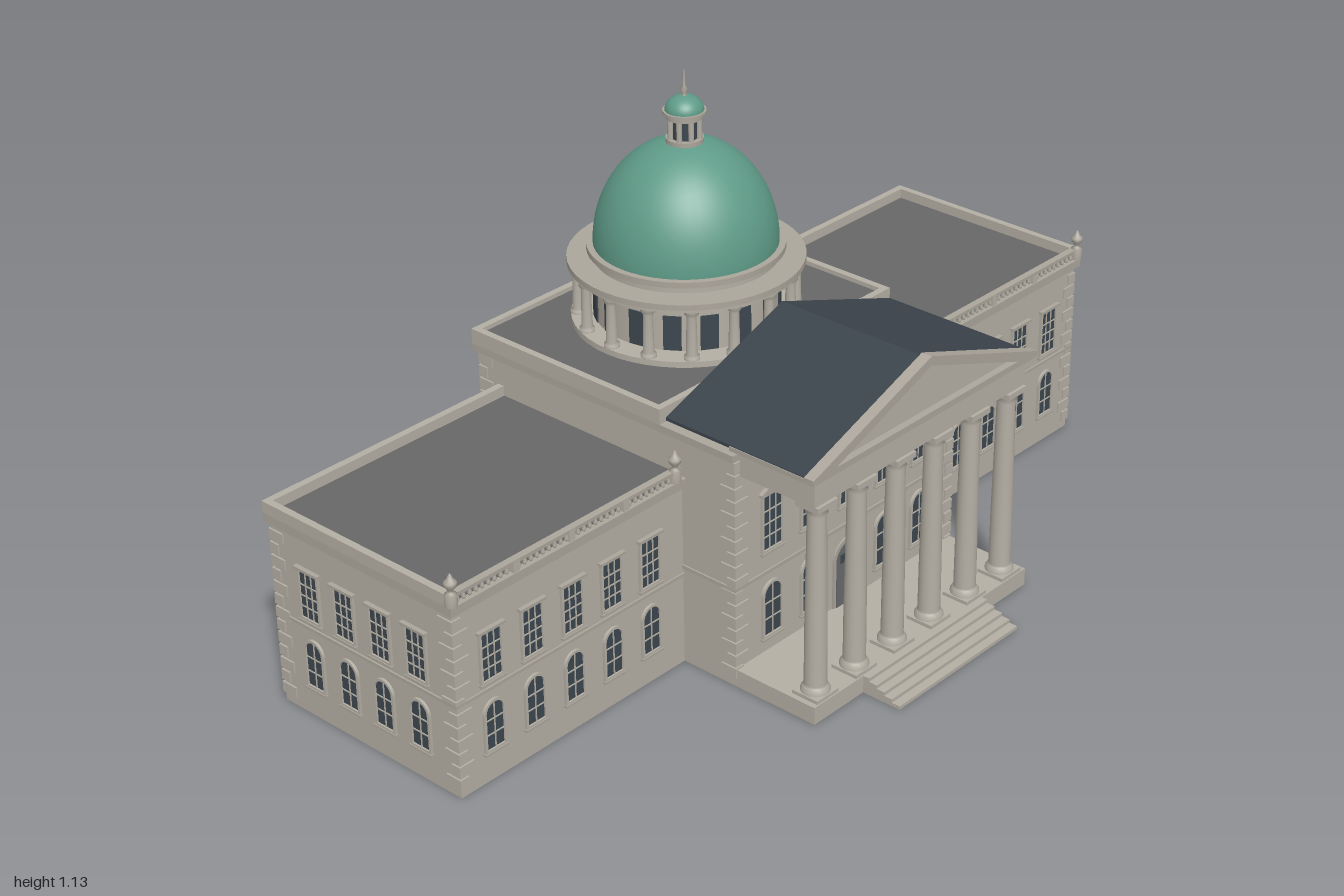
import * as THREE from 'three';

const mat = (name, color, side = THREE.FrontSide) => {
  const m = new THREE.MeshStandardMaterial({ color, side });
  m.name = name;
  return m;
};

export function createModel() {
  const stone = mat('warm stone', 0xb4afa4);
  const trim = mat('stone trim', 0xaca69b);
  const flatRoof = mat('flat roof grey', 0x676767);
  const slate = mat('slate', 0x3c444c);
  const glass = mat('window glass', 0x3d474f);
  const copper = mat('green copper', 0x5f9b88);
  const doorPaint = mat('door grey', 0x68696a);

  const model = new THREE.Group();
  model.name = 'domedHall';
  const add = (parent, name, geo, m, x = 0, y = 0, z = 0) => {
    const mesh = new THREE.Mesh(geo, m);
    mesh.name = name;
    mesh.position.set(x, y, z);
    parent.add(mesh);
    return mesh;
  };
  // box given by its extents
  const box = (parent, name, m, x0, x1, y0, y1, z0, z1) =>
    add(parent, name, new THREE.BoxGeometry(x1 - x0, y1 - y0, z1 - z0), m,
      (x0 + x1) / 2, (y0 + y1) / 2, (z0 + z1) / 2);
  const group = (name, x = 0, y = 0, z = 0) => {
    const g = new THREE.Group();
    g.name = name;
    g.position.set(x, y, z);
    model.add(g);
    return g;
  };
  const lathe = (pts, seg) => new THREE.LatheGeometry(pts.map(p => new THREE.Vector2(p[0], p[1])), seg);
  const extrude = (shape, depth) => new THREE.ExtrudeGeometry(shape, { depth, bevelEnabled: false, curveSegments: 8 });

  // ---- windows ----
  const opening = (w, h, arched, Type = THREE.Shape) => {
    const s = new Type();
    s.moveTo(-w / 2, 0);
    s.lineTo(w / 2, 0);
    if (arched) {
      s.lineTo(w / 2, h - w / 2);
      s.absarc(0, h - w / 2, w / 2, 0, Math.PI, false);
    } else {
      s.lineTo(w / 2, h);
      s.lineTo(-w / 2, h);
    }
    s.lineTo(-w / 2, 0);
    return s;
  };
  const cache = {};
  const addWindow = (x, y, z, ry, w, h, arched, hood = false, pane = glass) => {
    const g = group('window', x, y, z);
    g.rotation.y = ry;
    const key = [w, h, arched].join();
    if (!cache[key]) {
      const f = 0.006;
      const outer = opening(w + 2 * f, h + 2 * f, arched);
      const hole = opening(w, h, arched, THREE.Path);
      hole.curves.forEach(c => { if (c.isLineCurve) { c.v1.y += f; c.v2.y += f; } else c.aY += f; });
      outer.holes.push(hole);
      cache[key] = { pane: extrude(opening(w, h, arched), 0.002), frame: extrude(outer, 0.006) };
    }
    add(g, 'pane', cache[key].pane, pane);
    add(g, 'surround', cache[key].frame, stone, 0, -0.006, 0);
    const cols = arched ? 2 : 3, rows = arched ? 3 : 4;
    for (let i = 1; i < cols; i++)
      box(g, 'glazingBar', stone, -w / 2 + w * i / cols - 0.0012, -w / 2 + w * i / cols + 0.0012, 0, h - 0.001, 0, 0.004);
    for (let i = 1; i < rows; i++)
      box(g, 'glazingBar', stone, -w / 2, w / 2, h * i / rows * 0.95 - 0.0012, h * i / rows * 0.95 + 0.0012, 0, 0.004);
    if (!arched) box(g, 'lintel', trim, -w / 2 - 0.01, w / 2 + 0.01, h + 0.004, h + 0.01, 0, 0.01);
    box(g, 'sill', trim, -w / 2 - 0.008, w / 2 + 0.008, -0.01, -0.005, 0, 0.008);
    if (hood) {
      const s = new THREE.Shape();
      s.moveTo(-w / 2 - 0.012, 0); s.lineTo(w / 2 + 0.012, 0); s.lineTo(0, 0.018);
      add(g, 'hood', extrude(s, 0.01), trim, 0, h + 0.01, 0);
    }
  };

  // ---- stepped corner stones ----
  const quoins = (X, Z, sx, sz, top) => {
    const g = group('quoins');
    for (let i = 0, y = 0.02; y + 0.024 < top; i++, y += 0.03) {
      const a = i % 2 ? 0.04 : 0.024, b = i % 2 ? 0.024 : 0.04;
      add(g, 'quoin', new THREE.BoxGeometry(a, 0.024, b), stone,
        X + sx * (0.004 - a / 2), y + 0.012, Z + sz * (0.004 - b / 2));
    }
  };

  // ---- centre block ----
  box(model, 'centreBlock', stone, -0.35, 0.35, 0, 0.53, -0.505, 0.21);
  box(model, 'centreCornice', trim, -0.363, 0.363, 0.53, 0.546, -0.516, 0.217);
  for (const s of [-1, 1])
    box(model, 'centreParapet', stone, s > 0 ? 0.347 : -0.363, s > 0 ? 0.363 : -0.347, 0.546, 0.58, -0.516, 0.022);
  box(model, 'centreParapet', stone, -0.347, 0.347, 0.546, 0.58, -0.516, -0.5);
  box(model, 'centreParapet', stone, -0.347, 0.347, 0.546, 0.58, 0.006, 0.022);
  box(model, 'centreRoof', flatRoof, -0.347, 0.347, 0.546, 0.57, -0.5, 0.006);
  box(model, 'centreBand', trim, -0.354, 0.354, 0.226, 0.234, -0.509, 0.214);
  for (const sx of [-1, 1]) for (const sz of [-1, 1]) quoins(sx * 0.35, sz > 0 ? 0.21 : -0.505, sx, sz, 0.53);
  for (let i = -2; i <= 2; i++) {
    const x = i * 0.12;
    addWindow(x, 0.285, 0.21, 0, 0.055, 0.125, false, true);
    addWindow(x, 0.285, -0.505, Math.PI, 0.055, 0.125, false, true);
    addWindow(x, 0.08, -0.505, Math.PI, 0.052, 0.12, true, false, i === 0 ? stone : glass);
    if (i) addWindow(x, 0.08, 0.21, 0, 0.052, 0.12, true);
  }
  // entrance door
  const door = group('entranceDoor', 0, 0.04, 0.21);
  add(door, 'doorSurround', extrude(opening(0.092, 0.158, true), 0.004), trim);
  add(door, 'doorLeaf', extrude(opening(0.076, 0.148, true), 0.006), doorPaint);
  box(door, 'fanlight', glass, -0.028, 0.028, 0.105, 0.125, 0.006, 0.008);
  box(door, 'doorJoint', slate, -0.001, 0.001, 0, 0.1, 0.006, 0.008);

  // ---- side wings ----
  const balusterGeo = lathe([[0.003, 0], [0.0055, 0.006], [0.0025, 0.013], [0.004, 0.018]], 6);
  const finialGeo = lathe([[0.013, 0], [0.013, 0.026], [0.006, 0.03], [0.006, 0.036], [0.013, 0.045],
    [0.013, 0.053], [0.006, 0.06], [0.004, 0.066], [0, 0.072]], 12);
  for (const s of [-1, 1]) {
    const span = (name, m, a, b, y0, y1, z0, z1) =>
      box(model, name, m, Math.min(s * a, s * b), Math.max(s * a, s * b), y0, y1, z0, z1);
    span('wing', stone, 0.34, 0.983, 0, 0.42, -0.445, 0.068);
    span('wingBand', trim, 0.34, 0.987, 0.208, 0.215, -0.449, 0.072);
    span('wingCornice', trim, 0.34, 0.993, 0.42, 0.44, -0.455, 0.08);
    span('wingRoof', flatRoof, 0.35, 0.977, 0.44, 0.443, -0.439, 0.064);
    span('wingParapet', stone, 0.977, 0.993, 0.44, 0.466, -0.455, 0.08);
    span('wingParapet', stone, 0.35, 0.977, 0.44, 0.466, -0.455, -0.439);
    // front balustrade and urns
    span('balustradeRail', trim, 0.36, 0.977, 0.459, 0.467, 0.062, 0.078);
    for (let i = 0; i < 38; i++) add(model, 'baluster', balusterGeo, stone, s * (0.375 + i * 0.016), 0.441, 0.07);
    for (const p of [0.52, 0.67, 0.82]) span('balustradePier', stone, p - 0.008, p + 0.008, 0.44, 0.466, 0.062, 0.078);
    for (const x of [0.375, 0.985]) add(model, 'cornerUrn', finialGeo, trim, s * x, 0.441, 0.073);
    for (const sz of [-1, 1]) quoins(s * 0.983, sz > 0 ? 0.068 : -0.445, s, sz, 0.42);
    for (let i = 0; i < 5; i++) {
      const x = s * (0.45 + i * 0.11);
      for (const [z, ry] of [[0.068, 0], [-0.445, Math.PI]]) {
        addWindow(x, 0.235, z, ry, 0.05, 0.105, false);
        addWindow(x, 0.075, z, ry, 0.046, 0.105, true);
      }
    }
    for (let i = 0; i < 4; i++) {
      const z = -0.035 - i * 0.102;
      addWindow(s * 0.983, 0.235, z, s * Math.PI / 2, 0.05, 0.105, false);
      addWindow(s * 0.983, 0.075, z, s * Math.PI / 2, 0.046, 0.105, true, false, s > 0 && i !== 1 ? stone : glass);
    }
  }

  // ---- portico ----
  box(model, 'porticoFloor', stone, -0.35, 0.35, 0, 0.04, 0.2, 0.42);
  for (let i = 0; i < 5; i++) box(model, 'step', stone, -0.197, 0.197, i * 0.008, (i + 1) * 0.008, 0.41, 0.515 - i * 0.02);
  const columnGeo = lathe([[0.031, 0], [0.031, 0.012], [0.026, 0.02], [0.024, 0.024], [0.0235, 0.15], [0.02, 0.415],
    [0.023, 0.42], [0.021, 0.426], [0.028, 0.436]], 20);
  for (let i = 0; i < 6; i++) {
    const x = -0.305 + i * 0.122;
    add(model, 'porticoColumn', columnGeo, stone, x, 0.042, 0.384);
    box(model, 'columnPlinth', stone, x - 0.033, x + 0.033, 0.04, 0.048, 0.351, 0.417);
    box(model, 'columnAbacus', stone, x - 0.03, x + 0.03, 0.477, 0.49, 0.354, 0.412);
  }
  box(model, 'entablature', stone, -0.338, 0.338, 0.49, 0.552, 0.2, 0.405);
  box(model, 'entablatureCornice', trim, -0.355, 0.355, 0.55, 0.56, 0.2, 0.417);
  const triangle = (w, y0, y1, Type = THREE.Shape) => {
    const t = new Type();
    t.moveTo(-w, y0); t.lineTo(w, y0); t.lineTo(0, y1); t.lineTo(-w, y0);
    return t;
  };
  add(model, 'gable', extrude(triangle(0.345, 0.555, 0.68), 0.372), stone, 0, 0, 0.032);
  const raking = new THREE.Shape([[-0.358, 0.553], [0.358, 0.553], [0.358, 0.565], [0, 0.694], [-0.358, 0.565]]
    .map(p => new THREE.Vector2(...p)));
  raking.holes.push(triangle(0.29, 0.567, 0.673, THREE.Path));
  add(model, 'rakingCornice', extrude(raking, 0.025), trim, 0, 0, 0.395);
  for (const s of [-1, 1]) {
    const slab = new THREE.Shape([[0, 0.687], [s * 0.353, 0.562], [s * 0.353, 0.555], [0, 0.679]]
      .map(p => new THREE.Vector2(...p)));
    add(model, 'porticoRoof', extrude(slab, 0.365), slate, 0, 0, 0.03);
  }

  // ---- drum and dome ----
  const tower = group('domeTower', 0, 0, -0.236);
  const cyl = (name, m, r, y0, y1, seg = 48) =>
    add(tower, name, new THREE.CylinderGeometry(r, r, y1 - y0, seg), m, 0, (y0 + y1) / 2, 0);
  cyl('drumBase', stone, 0.246, 0.56, 0.583);
  cyl('drum', stone, 0.197, 0.58, 0.736);
  cyl('colonnadeEntablature', stone, 0.244, 0.694, 0.705);
  cyl('colonnadeCornice', trim, 0.252, 0.703, 0.716);
  cyl('domeCornice', trim, 0.21, 0.733, 0.746);
  const smallColumn = lathe([[0.017, 0], [0.017, 0.008], [0.0125, 0.013], [0.0105, 0.098], [0.016, 0.106], [0.016, 0.113]], 12);
  for (let i = 0; i < 16; i++) {
    const a = i * Math.PI / 8, b = a + Math.PI / 16;
    add(tower, 'drumColumn', smallColumn, stone, Math.sin(a) * 0.23, 0.582, Math.cos(a) * 0.23);
    const w = add(tower, 'drumWindow', new THREE.BoxGeometry(0.038, 0.078, 0.006), glass,
      Math.sin(b) * 0.196, 0.624, Math.cos(b) * 0.196);
    w.rotation.y = b;
  }
  const dome = (name, r, h, y) => {
    const d = add(tower, name, new THREE.SphereGeometry(r, 48, 20, 0, Math.PI * 2, 0, Math.PI / 2), copper, 0, y, 0);
    d.scale.y = h / r;
  };
  dome('dome', 0.196, 0.229, 0.745);

  // ---- lantern ----
  cyl('lanternBase', trim, 0.04, 0.966, 0.979, 24);
  cyl('lanternGlass', glass, 0.029, 0.975, 1.03, 16);
  for (let i = 0; i < 8; i++) {
    const a = (i + 0.5) * Math.PI / 4;
    add(tower, 'lanternColumn', new THREE.CylinderGeometry(0.006, 0.006, 0.052, 8), stone,
      Math.sin(a) * 0.032, 1.003, Math.cos(a) * 0.032);
  }
  cyl('lanternCornice', trim, 0.039, 1.022, 1.034, 24);
  cyl('lanternEave', trim, 0.046, 1.033, 1.039, 24);
  dome('lanternCap', 0.041, 0.033, 1.038);
  add(tower, 'spire', lathe([[0.007, 0], [0.004, 0.008], [0.008, 0.017], [0.003, 0.024], [0.002, 0.055], [0, 0.058]], 10),
    trim, 0, 1.068, 0);
  return model;
}
